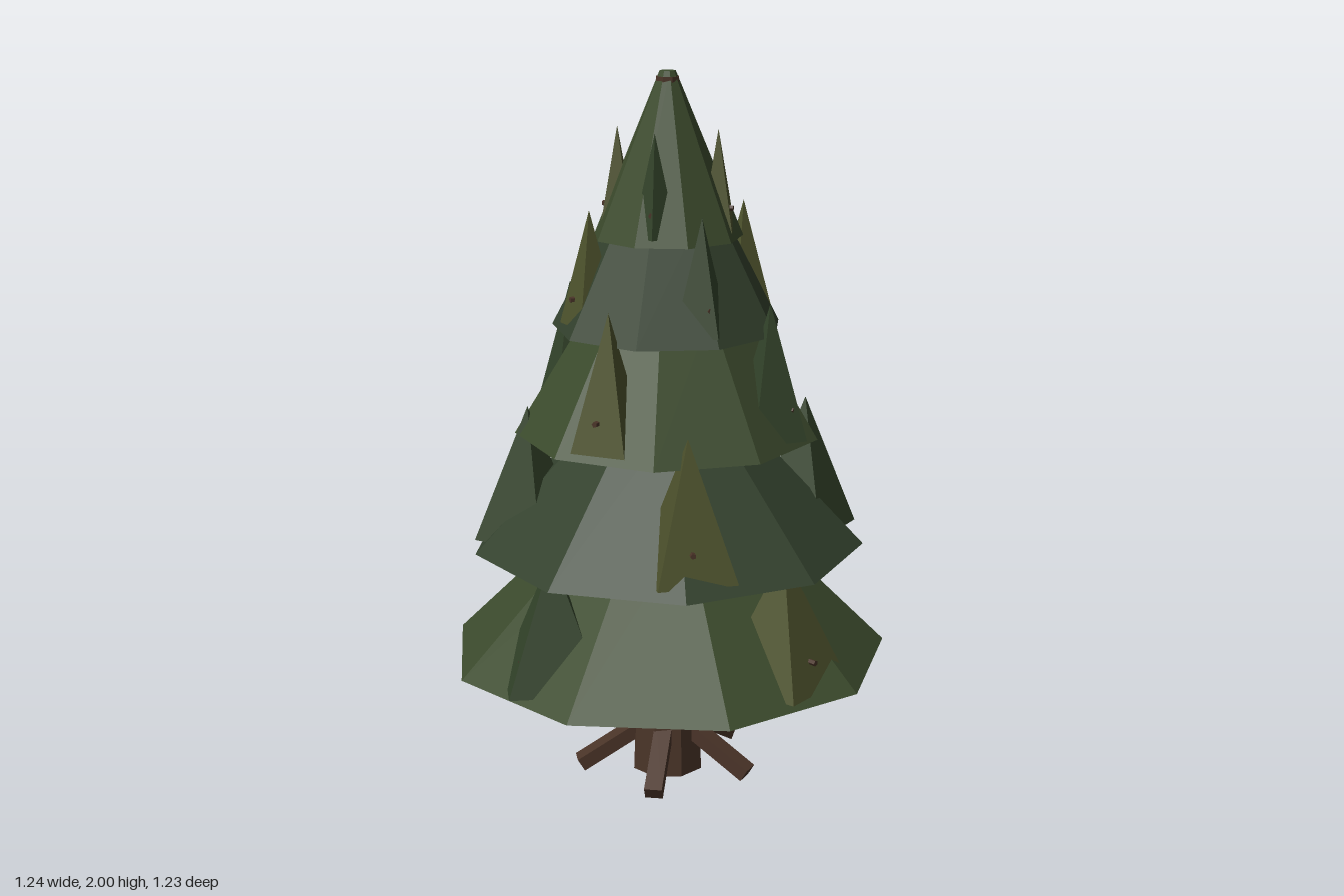
import * as THREE from 'three';

const mat = (color) => new THREE.MeshStandardMaterial({ color, flatShading: true });

export function createModel() {
  const tree = new THREE.Group();
  tree.name = 'pineTree';
  const bark = mat(0x4a3428);
  const needles = [mat(0x3c4b2d), mat(0x33412d)];
  const sprigs = [mat(0x33432a), mat(0x4d522c)];

  const add = (name, geometry, material, parent = tree) => {
    const mesh = new THREE.Mesh(geometry, material);
    mesh.name = name;
    parent.add(mesh);
    return mesh;
  };

  // Tapered trunk running up to the tip
  const trunk = add('trunk', new THREE.CylinderGeometry(0.033, 0.105, 1.985, 8), bark);
  trunk.position.y = 0.9925;
  trunk.rotation.y = Math.PI / 8;

  // Five sloping roots
  for (let i = 0; i < 5; i++) {
    const pivot = new THREE.Group();
    pivot.name = 'root';
    pivot.rotation.y = -i * Math.PI * 2 / 5;
    const root = add('rootBeam', new THREE.BoxGeometry(0.24, 0.04, 0.05), bark, pivot);
    root.position.set(0.153, 0.081, 0);
    root.rotation.z = -0.54;
    tree.add(pivot);
  }

  // Foliage tiers: skirt bottom/top, then the ring of sprigs on each
  const tiers = [
    { y0: 0.365, r0: 0.625, y1: 0.78, r1: 0.21, ring: 0.44, base: 0.385, tip: 0.75, size: 0.18, twig: 0.56 },
    { y0: 0.69, r0: 0.55, y1: 1.08, r1: 0.18, ring: 0.39, base: 0.715, tip: 1.09, size: 0.155, twig: 0.49 },
    { y0: 1.01, r0: 0.425, y1: 1.38, r1: 0.2, ring: 0.315, base: 1.03, tip: 1.4, size: 0.11, twig: 0.39 },
    { y0: 1.305, r0: 0.32, y1: 1.6, r1: 0.165, ring: 0.228, base: 1.33, tip: 1.64, size: 0.085, twig: 0.285 },
    { y0: 1.555, r0: 0.207, y1: 2.0, r1: 0.022, ring: 0.14, base: 1.575, tip: 1.85, size: 0.06, twig: 0.182 },
  ];

  tiers.forEach((t, i) => {
    const skirt = add('foliageTier', new THREE.CylinderGeometry(t.r1, t.r0, t.y1 - t.y0, 9), needles[i % 2]);
    skirt.position.y = (t.y0 + t.y1) / 2;
    skirt.rotation.y = (1 - i) * Math.PI / 2;

    // Four upright pyramids per tier, each tier turned a little further
    for (let k = 0; k < 4; k++) {
      const pivot = new THREE.Group();
      pivot.name = 'branch';
      pivot.rotation.y = -(0.65 * i + k * Math.PI / 2);
      const height = t.tip - t.base;
      const sprig = add('sprig', new THREE.ConeGeometry(t.size, height, 4), sprigs[k % 2], pivot);
      sprig.position.set(t.ring, t.base + height / 2, 0);
      sprig.rotation.y = (k % 2) * Math.PI / 4 + 0.12;

      // Twig end poking out of the sprig
      const twig = add('twig', new THREE.CylinderGeometry(0.008, 0.008, t.size, 5), bark, pivot);
      twig.rotation.z = Math.PI / 2;
      twig.position.set(t.twig - t.size / 2, t.base + height * 0.23, 0);
      tree.add(pivot);
    }
  });

  return tree;
}
